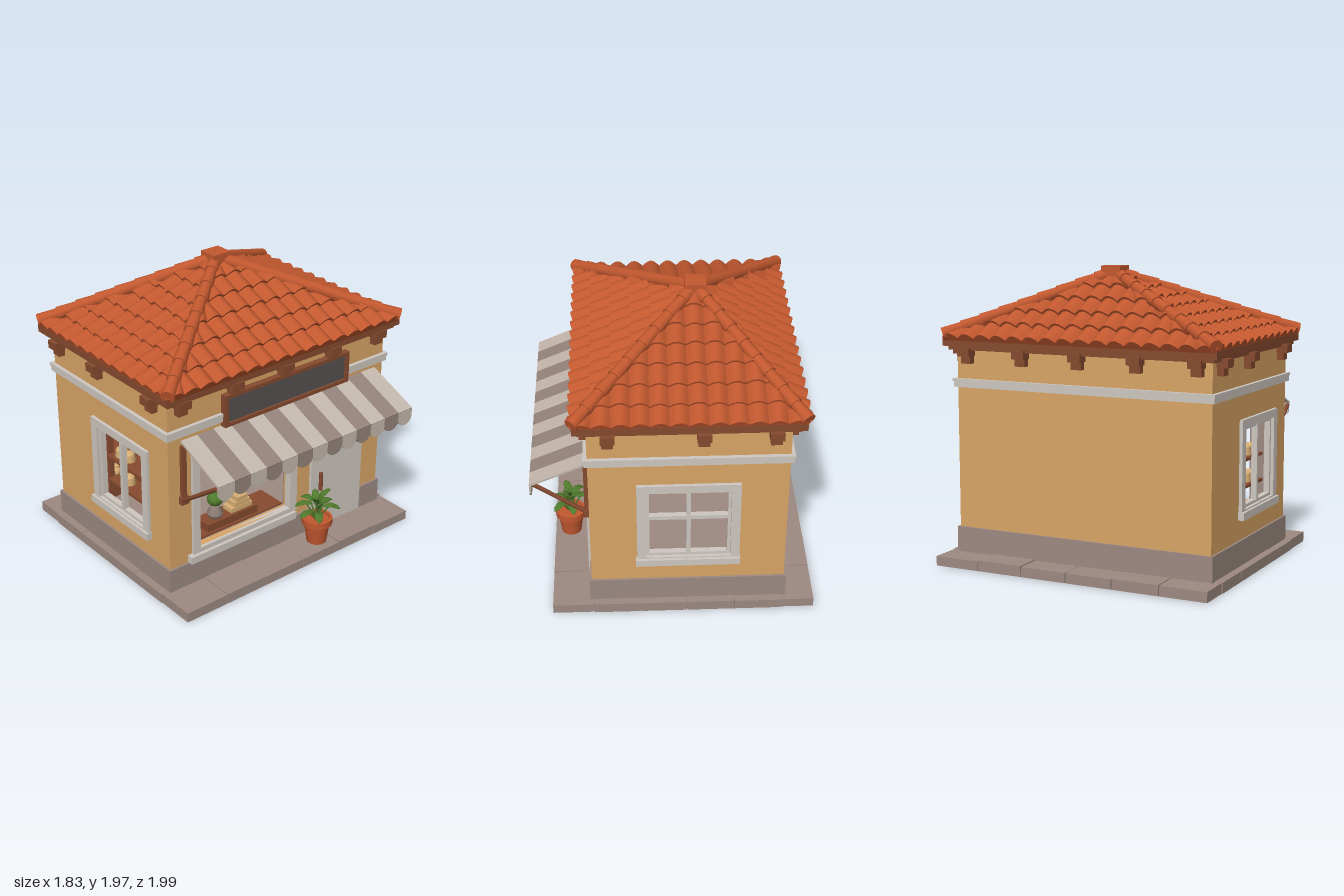
import * as THREE from 'three';
import { mergeGeometries, toCreasedNormals } from 'three/addons/utils/BufferGeometryUtils.js';

const mat = (name, color, side = THREE.FrontSide) => {
  const m = new THREE.MeshStandardMaterial({ color, side });
  m.name = name;
  return m;
};

export function createModel() {
  const M = {
    wall: mat('ochre plaster', 0xd9a566), stone: mat('stone', 0x9d8a82), trim: mat('white trim', 0xcfc8c1),
    tile: mat('terracotta', 0xc2582f), wood: mat('brown wood', 0x864a2f), bread: mat('bread', 0xd8ae74),
    leaf: mat('leaf green', 0x4f7a2c, THREE.DoubleSide), slate: mat('slate', 0x56514f),
    cloth: mat('light canvas', 0xc3b7ac), stripe: mat('dark canvas', 0x94837a),
  };
  const model = new THREE.Group();
  model.name = 'bakeryShop';
  let seed = 7;
  const rnd = () => (seed = (seed * 16807) % 2147483647) / 2147483647;

  const add = (parent, name, geo, material, x = 0, y = 0, z = 0) => {
    const m = new THREE.Mesh(geo, material);
    m.name = name;
    m.position.set(x, y, z);
    parent.add(m);
    return m;
  };
  // Box given by its min and max on each axis
  const box = (parent, name, material, x0, x1, y0, y1, z0, z1) =>
    add(parent, name, new THREE.BoxGeometry(x1 - x0, y1 - y0, z1 - z0), material,
      (x0 + x1) / 2, (y0 + y1) / 2, (z0 + z1) / 2);
  // Rectangular plate with rectangular holes, each [x0, x1, y0, y1]
  const rect = (T, [a, b, c, d]) => new T().moveTo(a, c).lineTo(b, c).lineTo(b, d).lineTo(a, d).closePath();
  const plate = (parent, name, material, outer, holes, z0, z1) => {
    const s = rect(THREE.Shape, outer);
    s.holes = holes.map(h => rect(THREE.Path, h));
    return add(parent, name, new THREE.ExtrudeGeometry(s, { depth: z1 - z0, bevelEnabled: false }), material, 0, 0, z0);
  };
  // Beam between two points
  const rod = (parent, name, material, a, b, r0, r1 = r0, sides = 8) => {
    const d = b.clone().sub(a);
    const m = add(parent, name, new THREE.CylinderGeometry(r1, r0, d.length(), sides), material);
    m.position.copy(a).addScaledVector(d, 0.5);
    m.quaternion.setFromUnitVectors(new THREE.Vector3(0, 1, 0), d.normalize());
    return m;
  };
  const V = (x, y, z) => new THREE.Vector3(x, y, z);

  // Paved base: a core with edging slabs
  box(model, 'baseCore', M.stone, -0.9, 0.78, 0, 0.066, -0.96, 0.96);
  for (let i = 0; i < 6; i++) {
    const z0 = -0.975 + i * 0.325, h = 0.066 + rnd() * 0.008;
    box(model, 'edgeSlab', M.stone, 0.53, 0.8, 0.002, h, z0 + 0.003, z0 + 0.322);
    box(model, 'edgeSlab', M.stone, -0.92, -0.7, 0.002, h, z0 + 0.003, z0 + 0.322);
  }
  for (let i = 0; i < 4; i++) for (const s of [-1, 1])
    box(model, 'edgeSlab', M.stone, -0.7 + i * 0.3075, -0.395 + i * 0.3075, 0.002, 0.067 + rnd() * 0.006,
      s > 0 ? 0.86 : -0.978, s > 0 ? 0.978 : -0.86);

  // Four sides: local x runs along the wall, local z points outwards
  const side = (name, x, z, turn) => {
    const g = new THREE.Group();
    g.name = name;
    g.position.set(x, 0, z);
    g.rotation.y = turn * Math.PI / 2;
    model.add(g);
    return g;
  };
  const front = side('frontSide', 0, 0.91, 0), shop = side('shopSide', 0.54, 0, 1);
  const back = side('backSide', 0, -0.91, 2), blank = side('blankSide', -0.72, 0, -1);
  const walls = [
    [front, -0.72, 0.54, [[-0.22, 0.28, 0.43, 0.96]], [[-0.735, 0.555]], [-0.62, -0.18, 0.41]],
    [shop, -0.91, 0.91, [[-0.68, 0.08, 0.32, 1.02], [0.33, 0.69, 0.08, 0.78]], [[-0.925, 0.31], [0.73, 0.925]], [-0.82, -0.41, 0, 0.41, 0.82]],
    [back, -0.54, 0.72, [[-0.18, 0.36, 0.43, 0.96]], [[-0.555, 0.735]], [-0.41, 0.18, 0.62]],
    [blank, -0.91, 0.91, [], [[-0.925, 0.925]], [-0.82, -0.41, 0, 0.41, 0.82]],
  ];
  for (const [g, a, b, holes, plinths, brackets] of walls) {
    plate(g, 'plasterWall', M.wall, [a, b, 0.07, 1.45], holes, -0.045, 0);
    plate(g, 'innerLining', M.stone, [a + 0.045, b - 0.045, 0.07, 1.42], holes, -0.053, -0.0455);
    for (const [p, q] of plinths) box(g, 'plinth', M.stone, p, q, 0.066, 0.235, -0.002, 0.015);
    box(g, 'bandMoulding', M.trim, a - 0.02, b + 0.02, 1.175, 1.215, -0.01, 0.02);
    box(g, 'bandLip', M.trim, a - 0.026, b + 0.026, 1.212, 1.232, -0.01, 0.026);
    for (const u of brackets) {
      box(g, 'eaveBracket', M.wood, u - 0.045, u + 0.045, 1.385, 1.44, 0, 0.075);
      box(g, 'eaveBracketFoot', M.wood, u - 0.036, u + 0.036, 1.335, 1.39, 0, 0.045);
    }
  }

  // Framed side windows
  const sideWindow = (g, a, b, crossbar) => {
    plate(g, 'windowFrame', M.trim, [a - 0.06, b + 0.06, 0.4, 1.015], [[a, b, 0.43, 0.96]], -0.02, 0.022);
    plate(g, 'windowSash', M.trim, [a, b, 0.43, 0.96], [[a + 0.02, b - 0.02, 0.45, 0.94]], -0.04, 0);
    box(g, 'windowSill', M.trim, a - 0.07, b + 0.065, 0.37, 0.42, -0.01, 0.04);
    const c = (a + b) / 2;
    box(g, 'mullion', M.trim, c - 0.014, c + 0.014, 0.44, 0.95, -0.035, 0.005);
    if (crossbar) box(g, 'crossbar', M.trim, a + 0.01, b - 0.01, 0.73, 0.758, -0.035, 0.003);
  };
  sideWindow(front, -0.22, 0.28, false);
  sideWindow(back, -0.18, 0.36, true);

  // Shop window, sill and door
  plate(shop, 'shopWindowFrame', M.trim, [-0.735, 0.14, 0.285, 1.08], [[-0.68, 0.08, 0.32, 1.02]], -0.03, 0.022);
  box(shop, 'shopWindowSill', M.trim, -0.77, 0.12, 0.237, 0.288, -0.01, 0.045);
  plate(shop, 'doorCasing', M.trim, [0.27, 0.735, 0.07, 0.826], [[0.335, 0.69, 0.069, 0.775]], -0.03, 0.022);
  plate(shop, 'doorLeaf', M.trim, [0.335, 0.69, 0.08, 0.775], [[0.375, 0.635, 0.34, 0.715]], -0.035, 0.002);
  box(shop, 'doorPanel', M.wood, 0.375, 0.635, 0.15, 0.335, 0, 0.009);
  plate(shop, 'doorGlazingBead', M.wood, [0.37, 0.64, 0.335, 0.72], [[0.38, 0.63, 0.345, 0.7]], -0.02, 0.006);
  rod(shop, 'doorHandle', M.wood, V(0.347, 0.37, 0.035), V(0.347, 0.505, 0.035), 0.014);
  for (const y of [0.39, 0.485]) rod(shop, 'handleMount', M.wood, V(0.347, y, 0), V(0.347, y, 0.035), 0.009);

  // Sign board
  plate(shop, 'signFrame', M.wood, [-0.495, 0.555, 1.14, 1.36], [[-0.468, 0.528, 1.165, 1.335]], 0, 0.045);
  box(shop, 'signPanel', M.slate, -0.47, 0.53, 1.16, 1.34, 0.005, 0.03);

  // Striped awning with a scalloped valance
  const w = 1.65 / 13, slope = Math.atan2(0.16, 0.37);
  const flap = new THREE.Shape().moveTo(w / 2, 0.975).lineTo(-w / 2, 0.975).lineTo(-w / 2, 0.925);
  flap.absellipse(0, 0.925, w / 2, 0.055, Math.PI, 2 * Math.PI, false);
  const flapGeo = new THREE.ExtrudeGeometry(flap, { depth: 0.012, bevelEnabled: false, curveSegments: 8 });
  for (let i = 0; i < 13; i++) {
    const u = -0.81 + (i + 0.5) * w, m = i % 2 ? M.stripe : M.cloth;
    const top = add(shop, 'awningStripe', new THREE.BoxGeometry(w, 0.014, 0.405), m, u, 1.055, 0.182);
    top.rotation.x = slope;
    add(shop, 'awningValance', flapGeo, m, u, 0, 0.358);
  }
  for (const u of [-0.805, 0.805]) {
    box(shop, 'awningPost', M.wood, u - 0.016, u + 0.016, 0.74, 1.11, 0, 0.03);
    box(shop, 'awningPostFoot', M.wood, u - 0.028, u + 0.028, 0.7, 0.75, 0, 0.035);
    rod(shop, 'awningStrut', M.wood, V(u, 0.725, 0.02), V(u, 0.96, 0.35), 0.014);
  }

  // Eaves
  box(model, 'eaveSoffit', M.wood, -0.775, 0.595, 1.425, 1.46, -0.945, 0.945);
  box(model, 'eaveFascia', M.wood, -0.803, 0.622, 1.45, 1.5, -0.972, 0.972);

  // Roof slopes: stepped rows of barrel tiles, narrowing between the hips
  const apex = V(-0.165, 1.9, -0.03);
  const corners = [V(-0.805, 1.49, 0.965), V(0.625, 1.49, 0.965), V(0.625, 1.49, -0.965), V(-0.805, 1.49, -0.965)];
  corners.forEach((A, k) => {
    const B = corners[(k + 1) % 4], L = A.distanceTo(B), dir = B.clone().sub(A).divideScalar(L);
    const u0 = apex.clone().sub(A).dot(dir), up = apex.clone().sub(A).addScaledVector(dir, -u0);
    const normal = dir.clone().cross(up).normalize();
    const rows = Math.round(up.length() / 0.14), tiles = Math.round(L / 0.122), n = tiles * 6;
    const pos = [], index = [];
    for (let r = 0; r < rows; r++) {
      const jitter = Array.from({ length: tiles + 1 }, () => (rnd() - 0.5) * 0.012);
      for (const [step, lift, ripple] of [[0, -0.015, 0], [0, 0.018, 1], [1.05, 0, 1]]) {
        const start = pos.length / 3;
        for (let i = 0; i <= n; i++) {
          const t = Math.min(1, Math.max(0, (r + step) / rows + (step || !r ? 0 : jitter[Math.floor(i / 6)])));
          const u = THREE.MathUtils.clamp(i / n * L, u0 * t, L - (L - u0) * t);
          const h = lift + ripple * 0.036 * Math.abs(Math.sin(Math.PI * u * tiles / L));
          const p = A.clone().addScaledVector(dir, u).addScaledVector(up, t).addScaledVector(normal, h);
          pos.push(p.x, p.y, p.z);
          if (i && step + lift > -0.01) {
            const d = start + i, c = d - n - 1;
            index.push(c - 1, c, d, c - 1, d, d - 1);
          }
        }
      }
    }
    const geo = new THREE.BufferGeometry();
    geo.setAttribute('position', new THREE.Float32BufferAttribute(pos, 3));
    geo.setIndex(index);
    add(model, 'roofSlope', toCreasedNormals(geo, 0.7), M.tile);

    // Hip ridge of overlapping tapered caps
    const from = A.clone().add(V(0, 0.035, 0)), to = apex.clone().add(V(0, 0.025, 0));
    for (let i = 0; i < 9; i++)
      rod(model, 'hipTile', M.tile, from.clone().lerp(to, i / 9), from.clone().lerp(to, (i + 1.1) / 9), 0.045, 0.036, 12);
  });
  box(model, 'roofCap', M.tile, -0.235, -0.1, 1.9, 1.967, -0.1, 0.04);

  // Loaves and jars
  const jarGeo = new THREE.LatheGeometry([[0, 0], [0.032, 0], [0.036, 0.02], [0.034, 0.045], [0.02, 0.058],
    [0.024, 0.064], [0.024, 0.078], [0, 0.08]].map(p => new THREE.Vector2(...p)), 10);
  const loafGeo = mergeGeometries([new THREE.CylinderGeometry(0.042, 0.046, 0.045, 10).translate(0, 0.0225, 0),
    new THREE.SphereGeometry(0.042, 10, 6).scale(1, 0.6, 1).translate(0, 0.045, 0)]);
  const jar = (x, y, z) => add(model, 'jar', jarGeo, M.bread, x, y, z);
  const loaf = (x, y, z) => add(model, 'loaf', loafGeo, M.bread, x, y, z);

  // Tall shelving along the blank wall
  box(model, 'shelvingBack', M.wood, -0.665, -0.645, 0.07, 1.1, -0.76, 0.7);
  for (const z of [-0.74, 0.0, 0.67]) box(model, 'shelvingPost', M.wood, -0.65, -0.45, 0.07, 1.1, z - 0.02, z + 0.02);
  for (const y of [0.33, 0.53, 0.71, 0.95]) box(model, 'shelvingBoard', M.wood, -0.65, -0.46, y - 0.015, y + 0.012, -0.74, 0.67);
  for (const z of [0.57, 0.46, 0.33, 0.24, 0.16, 0.09]) jar(-0.52, 0.722, z);
  for (const z of [0.47, 0.34, 0.25, 0.16, -0.43, -0.57]) jar(-0.52, 0.542, z);
  for (const z of [0.59, -0.06, -0.43, -0.52]) jar(-0.52, 0.342, z);
  for (const y of [0.542, 0.722]) box(model, 'shelfLoafTray', M.bread, -0.57, -0.48, y, y + 0.04, -0.62, -0.48);

  // Bread shelves behind the front window
  for (const y of [0.7, 0.52]) box(model, 'windowShelf', M.wood, -0.23, 0.29, y, y + 0.018, 0.71, 0.85);
  for (const x of [-0.155, -0.075, 0.135, 0.225]) loaf(x, 0.718, 0.78);
  for (const x of [-0.085, 0.135, 0.225]) loaf(x, 0.538, 0.78);

  // Display counter with tray, stacked loaves and a small potted shrub
  box(model, 'displayCounter', M.wood, 0.26, 0.48, 0.29, 0.325, -0.08, 0.68);
  box(model, 'displayTray', M.wood, 0.34, 0.46, 0.325, 0.38, 0.12, 0.54);
  [[0.15, 0.33, 0.38], [0.17, 0.3, 0.415], [0.19, 0.28, 0.45]].forEach(([a, b, y]) =>
    box(model, 'flatLoaf', M.bread, 0.35, 0.44, y, y + 0.032, a, b));
  add(model, 'shrubPot', new THREE.LatheGeometry([[0, 0], [0.045, 0], [0.055, 0.03], [0.03, 0.08], [0.035, 0.1], [0, 0.1]]
    .map(p => new THREE.Vector2(...p)), 12), M.stripe, 0.4, 0.385, 0.435);
  add(model, 'shrub', new THREE.SphereGeometry(0.055, 10, 8).scale(1, 0.85, 1), M.leaf, 0.4, 0.515, 0.435);

  // Terracotta pot with arching leaves
  const plant = new THREE.Group();
  plant.name = 'pottedPlant';
  plant.position.set(0.69, 0.07, -0.215);
  model.add(plant);
  add(plant, 'flowerPot', toCreasedNormals(new THREE.LatheGeometry([[0, 0.01], [0.068, 0.01], [0.088, 0.15], [0.104, 0.15],
    [0.104, 0.195], [0.088, 0.195], [0.084, 0.17], [0, 0.17]].map(p => new THREE.Vector2(...p)), 18), 0.6), M.tile);
  const leafGeo = new THREE.SphereGeometry(1, 8, 8);
  leafGeo.scale(0.03, 0.007, 0.062);
  const lp = leafGeo.attributes.position;
  for (let i = 0; i < lp.count; i++) lp.setY(i, lp.getY(i) - 5 * lp.getZ(i) ** 2 + 5 * Math.abs(lp.getX(i)) ** 2);
  leafGeo.computeVertexNormals();
  for (let i = 0; i < 10; i++) {
    const a = i * 2.4, reach = i < 6 ? 0.08 : 0.03, y = i < 6 ? 0.26 + (i % 3) * 0.025 : 0.31 + (i - 6) * 0.018;
    const tip = V(Math.sin(a) * reach, y, Math.cos(a) * reach);
    rod(plant, 'stem', M.leaf, V(0, 0.17, 0), tip, 0.007, 0.005, 5);
    const leaf = add(plant, 'leaf', leafGeo, M.leaf, tip.x * 1.2, y, tip.z * 1.2);
    leaf.rotation.order = 'YXZ';
    leaf.rotation.set(i < 6 ? 0.1 : -0.8, a, 0);
  }
  return model;
}
